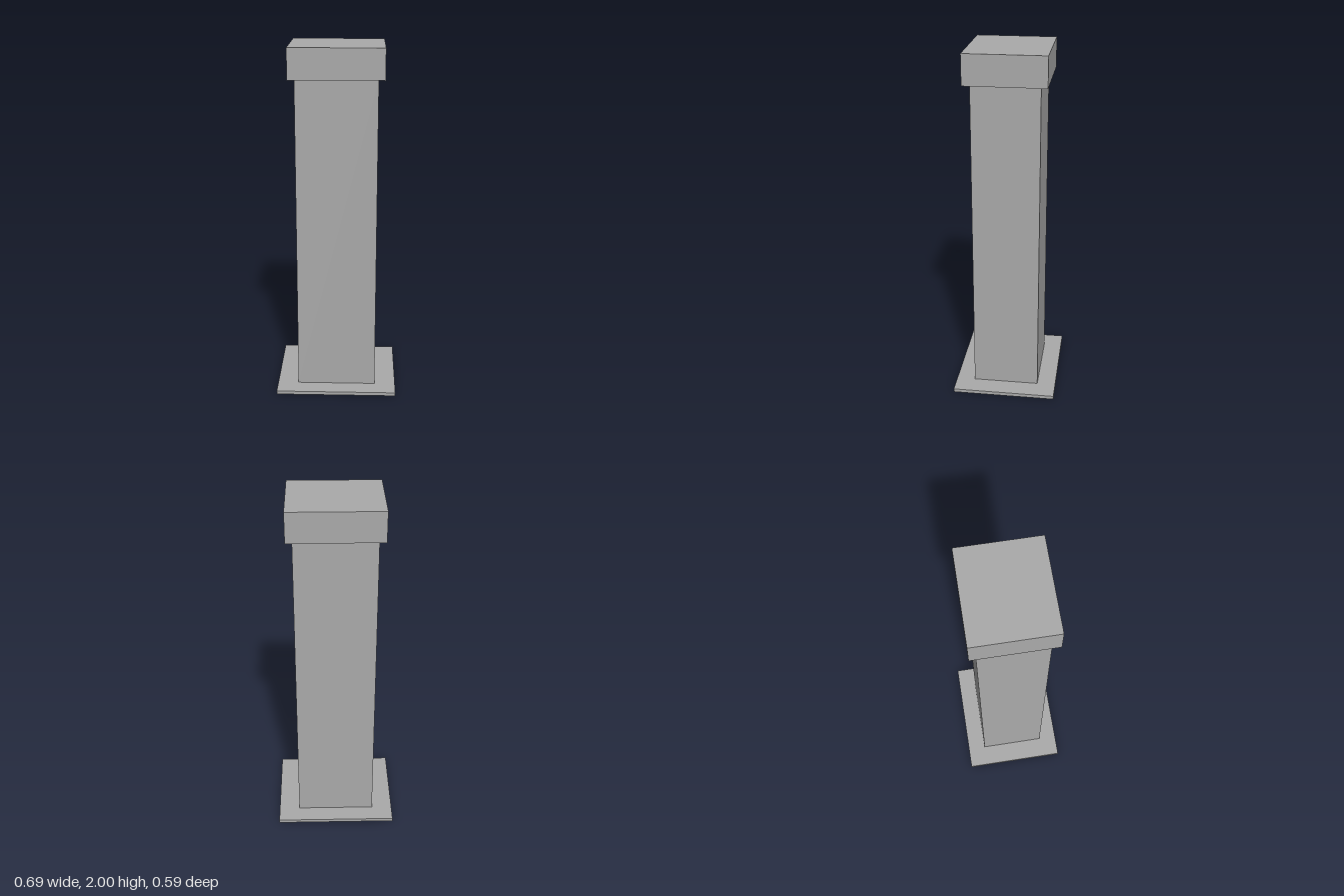
import * as THREE from 'three';

export function createModel() {
  const grey = new THREE.MeshStandardMaterial({ color: 0xaaaaaa, side: THREE.DoubleSide });
  grey.name = 'grey';
  const model = new THREE.Group();
  model.name = 'pillar';

  // Box standing on a given height
  function addBlock(name, width, height, depth, bottom) {
    const mesh = new THREE.Mesh(new THREE.BoxGeometry(width, height, depth), grey);
    mesh.name = name;
    mesh.position.y = bottom + height / 2;
    model.add(mesh);
    return mesh;
  }

  addBlock('basePlate', 0.694, 0.02, 0.592, 0);
  addBlock('shaft', 0.452, 1.81, 0.378, 0.02);

  // Hollow cap, open underneath: drop the box's bottom face (group 3)
  const cap = addBlock('cap', 0.522, 0.17, 0.454, 1.83);
  const index = Array.from(cap.geometry.index.array);
  index.splice(18, 6);
  cap.geometry.setIndex(index);
  cap.geometry.clearGroups();

  return model;
}
